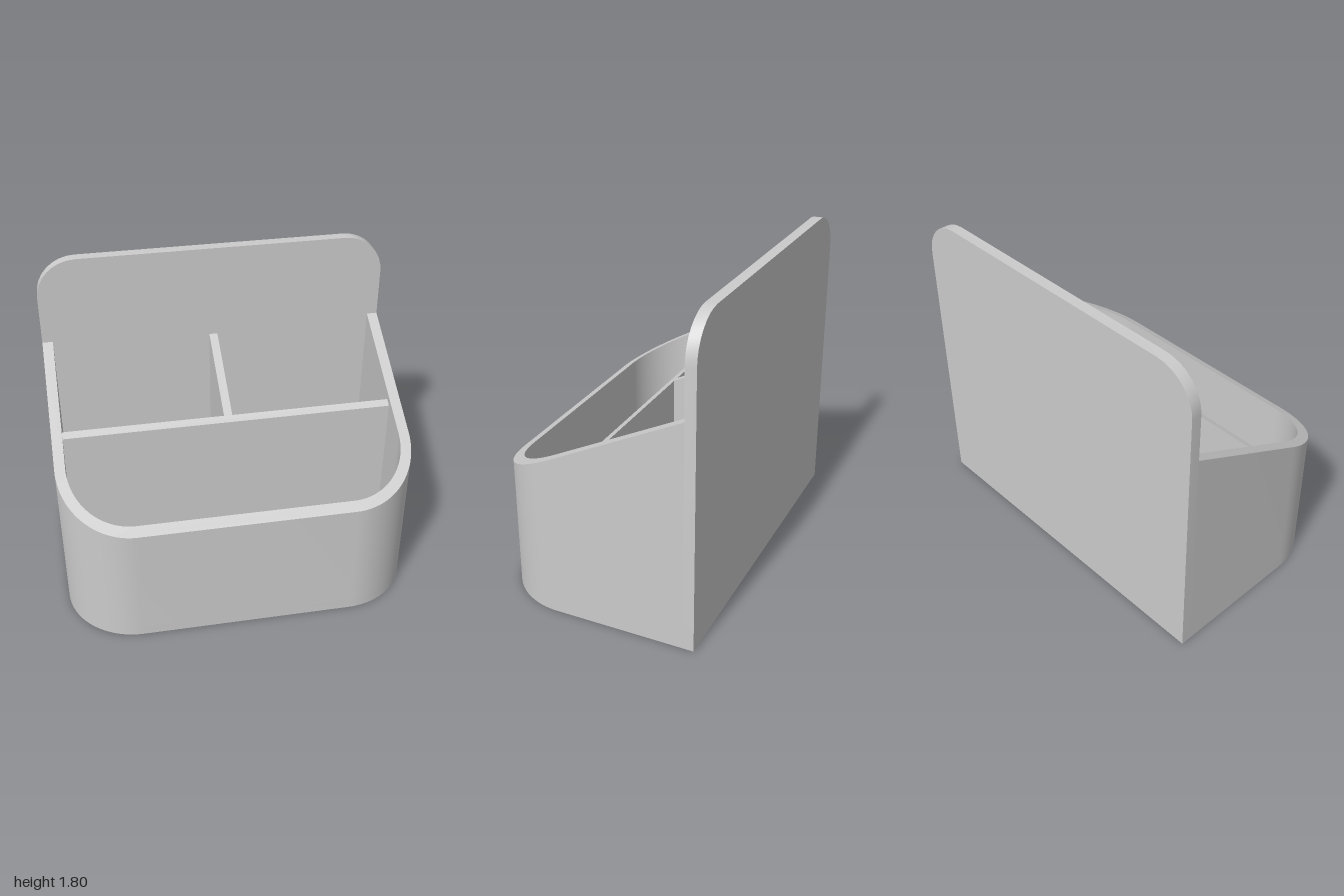
import * as THREE from 'three';
import { toCreasedNormals } from 'three/addons/utils/BufferGeometryUtils.js';

const WALL = 0.06, FLOOR = 0.06, BACK = -0.54, FRONT = 0.6;

// Height of the sloping rim at depth z
const rimHeight = (z) => 1.022 - 0.4956 * z;

export function createModel() {
  const model = new THREE.Group();
  const material = new THREE.MeshStandardMaterial({ color: 0xcccccc });

  function add(name, geometry) {
    const mesh = new THREE.Mesh(toCreasedNormals(geometry, 0.6), material);
    mesh.name = name;
    model.add(mesh);
  }

  // Raise a plan outline (x, -z) from bottom to topAt(z)
  function raise(shape, bottom, topAt) {
    const g = new THREE.ExtrudeGeometry(shape, { depth: 1, bevelEnabled: false, curveSegments: 12 });
    g.rotateX(-Math.PI / 2);
    const p = g.attributes.position;
    for (let i = 0; i < p.count; i++) p.setY(i, p.getY(i) > 0.5 ? topAt(p.getZ(i)) : bottom);
    return g;
  }

  function rectangle(x0, x1, z0, z1) {
    return new THREE.Shape([[x0, -z1], [x1, -z1], [x1, -z0], [x0, -z0]].map((c) => new THREE.Vector2(...c)));
  }

  // Rounded front corners, drawn from back left round to back right
  function tracePlan(shape, halfWidth, front, radius) {
    const cx = halfWidth - radius, cy = -front + radius;
    shape.lineTo(-halfWidth, cy);
    shape.absarc(-cx, cy, radius, Math.PI, Math.PI * 1.5);
    shape.absarc(cx, cy, radius, Math.PI * 1.5, Math.PI * 2);
    shape.lineTo(halfWidth, -BACK);
  }

  // Floor of the tray
  const floorPlan = new THREE.Shape();
  floorPlan.moveTo(-1, -BACK);
  tracePlan(floorPlan, 1, FRONT, 0.4);
  add('floor', raise(floorPlan, 0, () => FLOOR));

  // Curved wall with a sloping rim: outer outline, then the inner one in reverse
  const wallPlan = new THREE.Shape();
  wallPlan.moveTo(-1, -BACK);
  tracePlan(wallPlan, 1, FRONT, 0.4);
  const hw = 1 - WALL, r = 0.4 - WALL, cy = -0.2;
  wallPlan.lineTo(hw, -BACK);
  wallPlan.lineTo(hw, cy);
  wallPlan.absarc(hw - r, cy, r, 0, -Math.PI / 2, true);
  wallPlan.absarc(r - hw, cy, r, -Math.PI / 2, -Math.PI, true);
  wallPlan.lineTo(-hw, -BACK);
  add('wall', raise(wallPlan, FLOOR, rimHeight));

  // Dividers, slightly lower than the rim
  const dividerTop = (z) => rimHeight(z) - 0.043;
  add('crossDivider', raise(rectangle(-hw, hw, -0.04, 0), FLOOR, dividerTop));
  add('centreDivider', raise(rectangle(-0.024, 0.024, BACK, -0.04), FLOOR, dividerTop));

  // Tall back panel with rounded upper corners
  const R = 0.23, H = 1.8;
  const panel = new THREE.Shape();
  panel.moveTo(-1, 0);
  panel.lineTo(1, 0);
  panel.lineTo(1, H - R);
  panel.absarc(1 - R, H - R, R, 0, Math.PI / 2);
  panel.absarc(R - 1, H - R, R, Math.PI / 2, Math.PI);
  panel.lineTo(-1, 0);
  const panelGeometry = new THREE.ExtrudeGeometry(panel, { depth: WALL, bevelEnabled: false, curveSegments: 4 });
  panelGeometry.translate(0, 0, BACK - WALL);
  add('backPanel', panelGeometry);

  return model;
}
